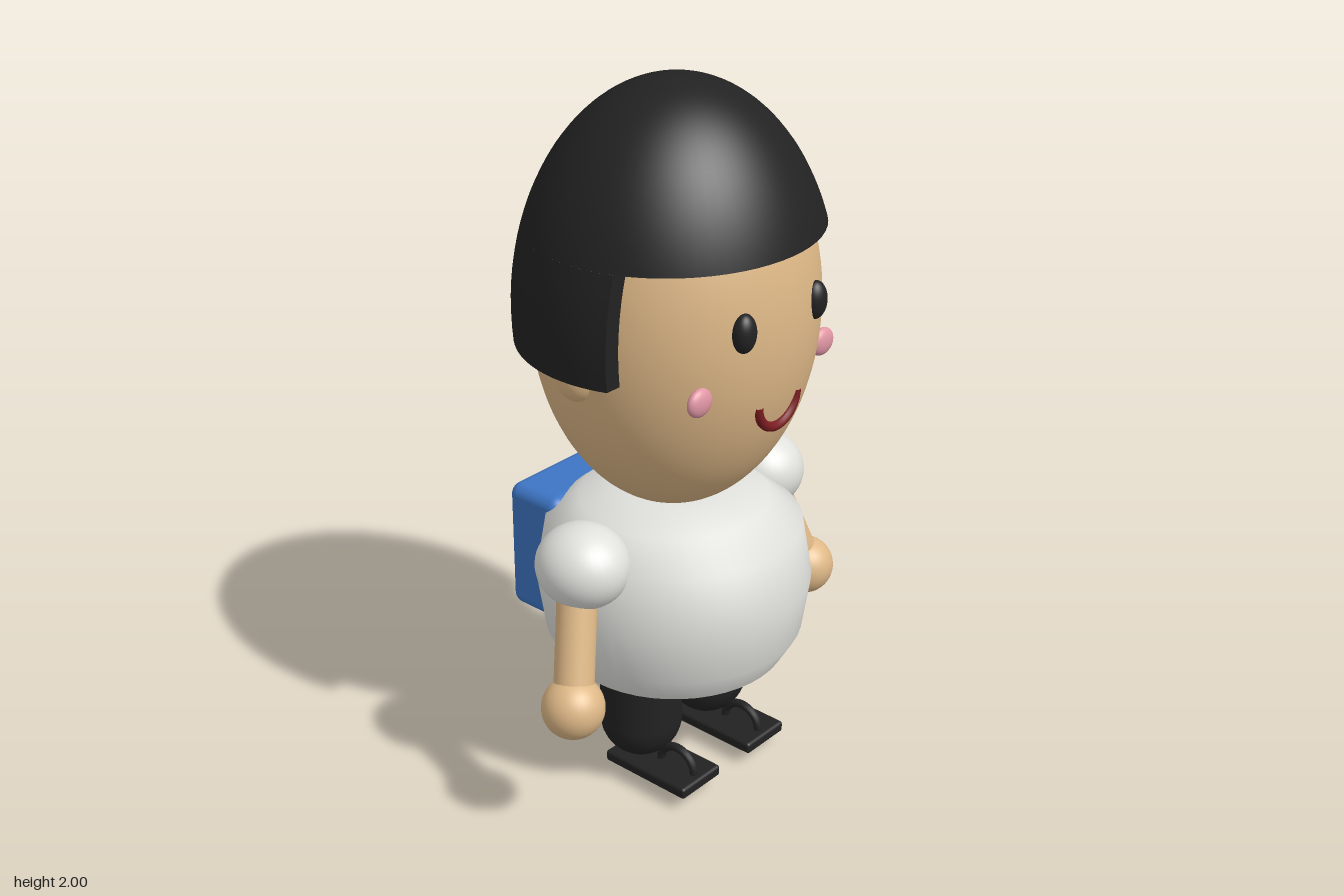
import * as THREE from 'three';
import { RoundedBoxGeometry } from 'three/addons/geometries/RoundedBoxGeometry.js';

export function createModel() {
  const model = new THREE.Group();
  model.name = 'schoolChild';

  const mat = (name, color, side = THREE.FrontSide) => {
    const m = new THREE.MeshStandardMaterial({ color, side });
    m.name = name;
    return m;
  };
  const skin = mat('skin', 0xdeb887);
  const black = mat('black', 0x222222, THREE.DoubleSide);
  const white = mat('shirtWhite', 0xe0e0dc);
  const blue = mat('bagBlue', 0x3d75c4);
  const yellow = mat('pocketYellow', 0xd6b240);
  const pink = mat('cheekPink', 0xe096a4);
  const red = mat('mouthRed', 0x7a1c20);

  const add = (name, geo, material, x = 0, y = 0, z = 0) => {
    const mesh = new THREE.Mesh(geo, material);
    mesh.name = name;
    mesh.position.set(x, y, z);
    model.add(mesh);
    return mesh;
  };
  const ellipsoid = (rx, ry, rz, seg = 32) =>
    new THREE.SphereGeometry(1, seg, Math.round(seg * 0.75)).scale(rx, ry, rz);
  // Surface grid: u runs left to right, v bottom to top, seen from outside
  const grid = (nu, nv, fn) => {
    const g = new THREE.PlaneGeometry(1, 1, nu, nv);
    const { position, uv } = g.attributes;
    for (let i = 0; i < position.count; i++) position.setXYZ(i, ...fn(uv.getX(i), uv.getY(i)));
    g.computeVertexNormals();
    return g;
  };

  // Head
  add('head', ellipsoid(0.39, 0.56, 0.372, 64), skin, 0, 1.4, 0.045);

  // Hair: an ellipsoid cut at the fringe in front and lower at the back
  const H = { y: 1.4, z: 0.04, rx: 0.435, ry: 0.6, rz: 0.41 };
  const fringeY = 1.62, napeY = 1.32, cutZ = 0.175;
  const ring = (y) => Math.sqrt(1 - ((y - H.y) / H.ry) ** 2);
  const halfWidth = (y, z) =>
    H.rx * Math.sqrt(Math.max(0, ring(y) ** 2 - ((z - H.z) / H.rz) ** 2));
  const lerp = THREE.MathUtils.lerp;

  const cap = new THREE.SphereGeometry(1, 64, 24, 0, Math.PI * 2, 0, Math.acos((fringeY - H.y) / H.ry));
  add('hairCap', cap.scale(H.rx, H.ry, H.rz), black, 0, H.y, H.z);
  const under = new THREE.CircleGeometry(1, 64).rotateX(Math.PI / 2);
  under.scale(H.rx * ring(fringeY), 1, H.rz * ring(fringeY));
  add('hairFringeUnderside', under, black, 0, fringeY, H.z);
  add('hairBack', grid(48, 8, (u, v) => {
    const y = lerp(napeY, fringeY, v), s = ring(y);
    const a0 = Math.acos((cutZ - H.z) / (H.rz * s));
    const a = lerp(a0, Math.PI * 2 - a0, u);
    return [H.rx * s * Math.sin(a), y, H.z + H.rz * s * Math.cos(a)];
  }), black);
  add('hairSideEdges', grid(2, 8, (u, v) => {
    const y = lerp(napeY, fringeY, v);
    return [halfWidth(y, cutZ) * (2 * u - 1), y, cutZ];
  }), black);
  add('hairNapeUnderside', grid(2, 40, (u, v) => {
    const back = H.z - H.rz * ring(napeY);
    const z = lerp(back, cutZ, v * v);
    return [halfWidth(napeY, z) * (2 * u - 1), napeY, z];
  }), black);

  // Mouth: lower half of a ring
  const mouth = new THREE.TorusGeometry(0.077, 0.013, 12, 32, Math.PI).rotateZ(Math.PI);
  add('mouth', mouth, red, 0, 1.228, 0.385);

  // Shirt body
  const profile = [[0.315, 0.375], [0.358, 0.45], [0.38, 0.6], [0.353, 0.76], [0.26, 0.835], [0.14, 0.87], [0, 0.87]]
    .map(([r, y]) => new THREE.Vector2(r, y));
  add('shirt', new THREE.LatheGeometry(profile, 48), white, 0, 0, 0.042);
  add('shirtHem', new THREE.CircleGeometry(0.315, 48).rotateX(Math.PI / 2), white, 0, 0.375, 0.042);

  // Backpack
  add('backpack', new RoundedBoxGeometry(0.43, 0.385, 0.19, 5, 0.035), blue, 0, 0.608, -0.293);
  add('backpackPocket', new RoundedBoxGeometry(0.275, 0.16, 0.1, 5, 0.022), yellow, 0, 0.53, -0.382);

  // Paired parts
  for (const [side, s] of [['left', 1], ['right', -1]]) {
    add(side + 'Ear', ellipsoid(0.055, 0.085, 0.058), skin, s * 0.37, 1.33, 0.04);
    add(side + 'Eye', ellipsoid(0.035, 0.052, 0.03), black, s * 0.142, 1.452, 0.387);
    add(side + 'Cheek', ellipsoid(0.043, 0.038, 0.02), pink, s * 0.247, 1.287, 0.336);
    add(side + 'Sleeve', ellipsoid(0.123, 0.114, 0.13), white, s * 0.367, 0.77, 0.045);

    // Arm runs from shoulder to hand
    const from = new THREE.Vector3(s * 0.38, 0.77, 0.04);
    const to = new THREE.Vector3(s * 0.495, 0.425, 0.122);
    const dir = to.clone().sub(from);
    const mid = from.clone().add(to).multiplyScalar(0.5);
    const arm = add(side + 'Arm', new THREE.CylinderGeometry(0.054, 0.054, dir.length(), 24), skin, mid.x, mid.y, mid.z);
    arm.quaternion.setFromUnitVectors(new THREE.Vector3(0, -1, 0), dir.normalize());
    add(side + 'Hand', ellipsoid(0.085, 0.085, 0.085), skin, to.x, to.y, to.z);

    // Leg, sandal sole and sandal ring
    add(side + 'Leg', new THREE.CapsuleGeometry(0.115, 0.2, 10, 32), black, s * 0.142, 0.29, 0.045);
    add(side + 'Sole', new RoundedBoxGeometry(0.16, 0.034, 0.29, 3, 0.01), black, s * 0.142, 0.059, 0.125);
    const loop = new THREE.TorusGeometry(0.06, 0.012, 10, 32).rotateY(Math.PI / 2);
    add(side + 'SandalLoop', loop, black, s * 0.142, 0.074, 0.18);
  }

  return model;
}
